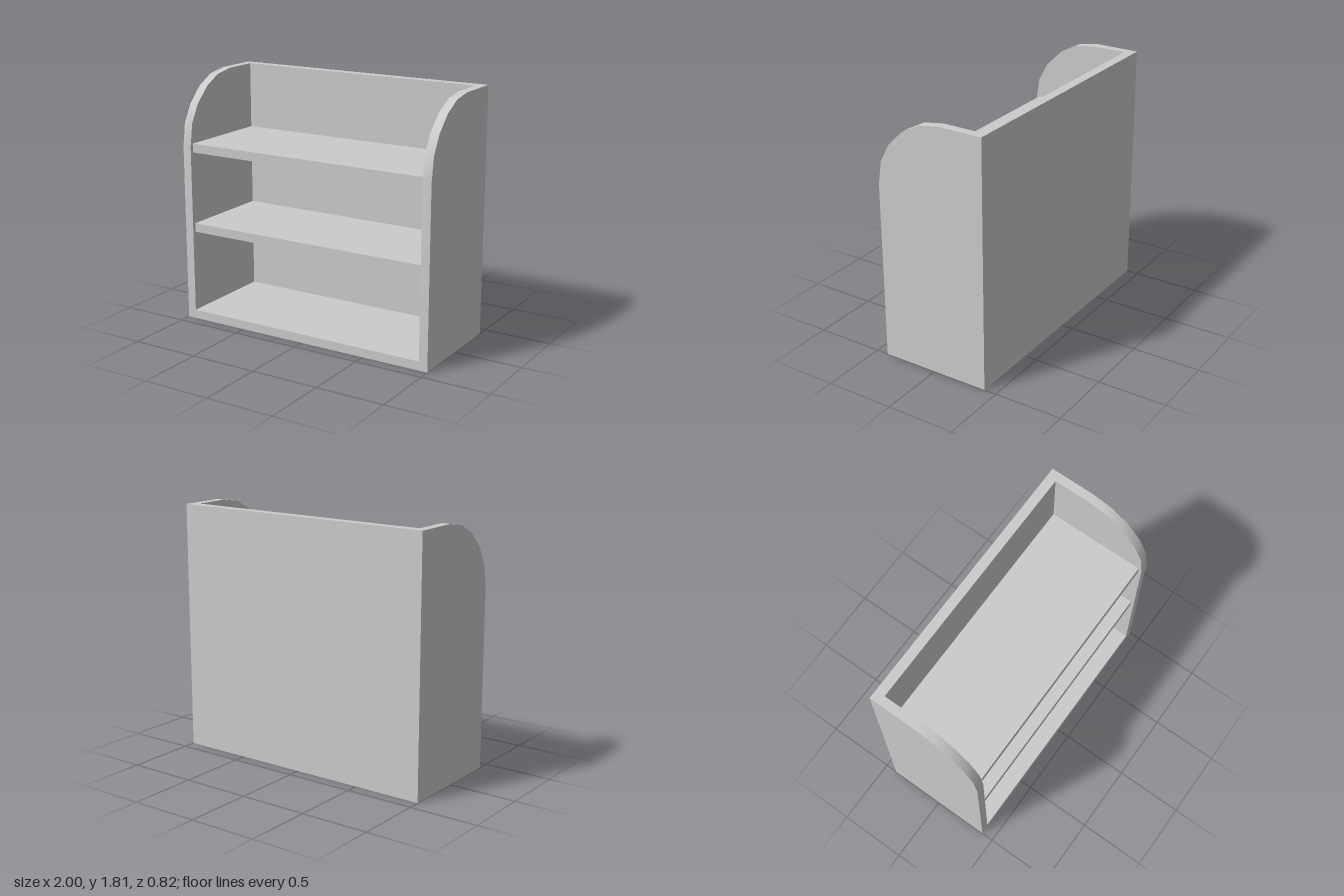
import * as THREE from 'three';
import { toCreasedNormals } from 'three/addons/utils/BufferGeometryUtils.js';

const W = 1, H = 1.81, D = 0.41, T = 0.065; // half width, height, half depth, board thickness
const I = W - T, B = -D + 0.07; // inner half width, inner face of the back
const material = new THREE.MeshStandardMaterial({ color: 0xcccccc });

// Side outline as [z, y]: straight back, arched front top
const outline = [[-D, 0], [-D, H], [-0.08, H], [0.07, 1.785], [0.2, 1.715],
  [0.315, 1.6], [0.385, 1.47], [D, 1.3], [D, 0]];

function part(parent, name, geometry) {
  const mesh = new THREE.Mesh(geometry, material);
  mesh.name = name;
  parent.add(mesh);
  return mesh;
}

// Board between the two sides
function board(parent, name, [y0, y1], [z0, z1]) {
  const mesh = part(parent, name, new THREE.BoxGeometry(2 * I, y1 - y0, z1 - z0));
  mesh.position.set(0, (y0 + y1) / 2, (z0 + z1) / 2);
}

export function createModel() {
  const model = new THREE.Group();
  model.name = 'bookshelf';

  // Arched side panels, extruded across x
  const shape = new THREE.Shape(outline.map(([z, y]) => new THREE.Vector2(-z, y)));
  const panel = toCreasedNormals(
    new THREE.ExtrudeGeometry(shape, { depth: T, bevelEnabled: false }).rotateY(Math.PI / 2), 0.6);
  part(model, 'leftSide', panel).position.x = I;
  part(model, 'rightSide', panel).position.x = -W;

  // Back and base
  board(model, 'backPanel', [0, H], [-D, B]);
  board(model, 'base', [0, T], [B, D]);

  // Shelves
  for (const [name, y] of [['lowerShelf', 0.665], ['upperShelf', 1.26]]) {
    board(model, name, [y, y + T], [B, 0.385]);
  }
  return model;
}
